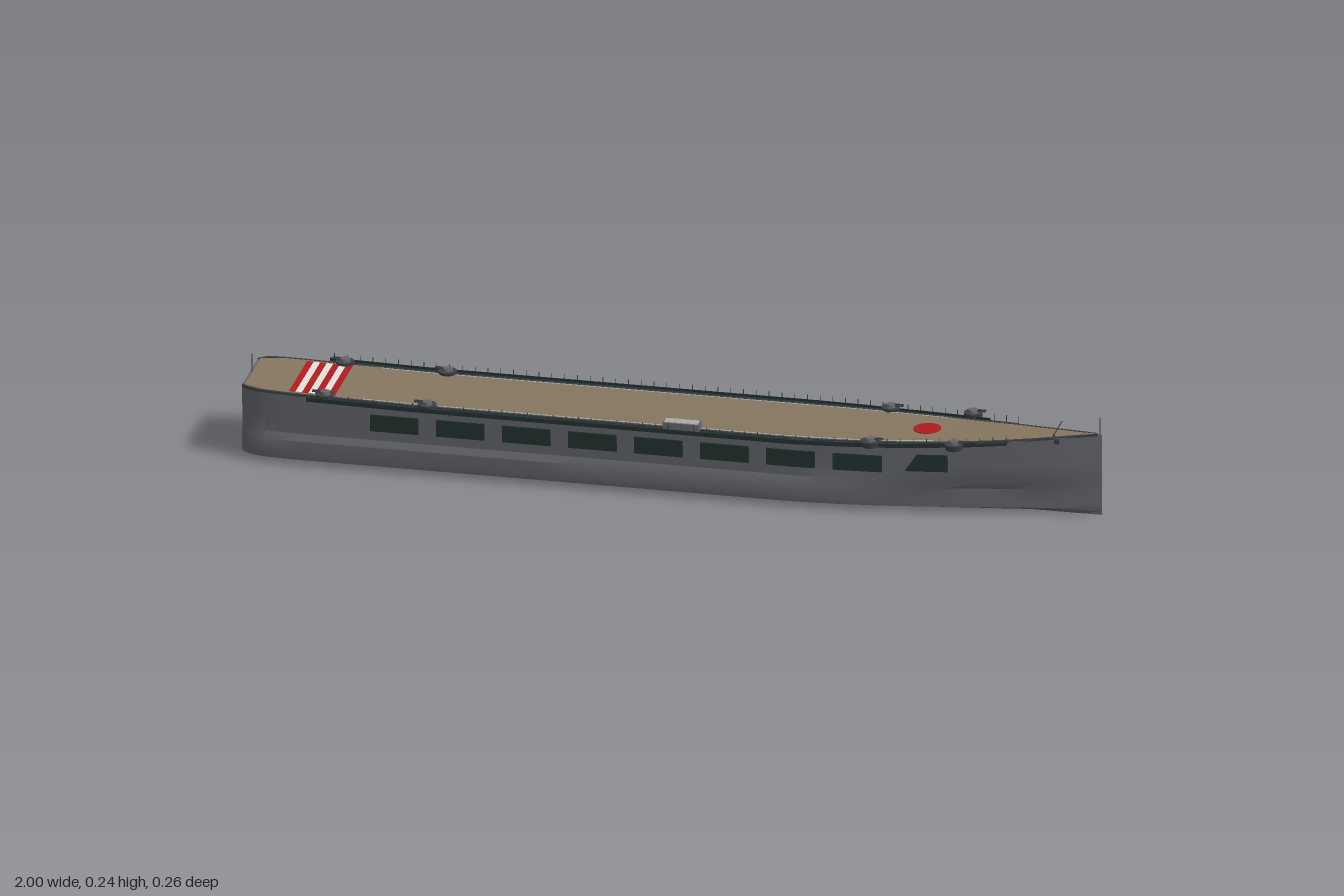
import * as THREE from 'three';
import { toCreasedNormals } from 'three/addons/utils/BufferGeometryUtils.js';

const mat = (name, color) => Object.assign(new THREE.MeshStandardMaterial({ color }), { name });

// Piecewise linear curve through [x, value] pairs
const curve = (pts) => (x) => {
  if (x <= pts[0][0]) return pts[0][1];
  for (let i = 1; i < pts.length; i++) {
    const [x0, v0] = pts[i - 1], [x1, v1] = pts[i];
    if (x <= x1) return v0 + ((v1 - v0) * (x - x0)) / (x1 - x0);
  }
  return pts[pts.length - 1][1];
};

// Hull lines: deck half breadth, bulge half breadth and deck height along x
const deckHalf = curve([[-1, 0.083], [-0.985, 0.096], [-0.965, 0.103], [-0.94, 0.106], [-0.9, 0.108], [0.3, 0.108],
  [0.4, 0.105], [0.5, 0.098], [0.6, 0.086], [0.7, 0.071], [0.8, 0.052], [0.9, 0.028], [1, 0.0008]]);
const bulgeHalf = curve([[-1, 0.08], [-0.985, 0.094], [-0.965, 0.103], [-0.94, 0.108], [-0.88, 0.112], [0.3, 0.111],
  [0.4, 0.104], [0.5, 0.092], [0.6, 0.075], [0.7, 0.055], [0.8, 0.035], [0.9, 0.016], [1, 0.0008]]);
const sheer = curve([[-1, 0.178], [-0.85, 0.174], [-0.6, 0.17], [0.3, 0.17], [0.5, 0.173], [0.7, 0.18], [0.85, 0.189], [1, 0.2]]);
const notchFade = curve([[0.3, 0.006], [0.6, 0]]);
const notchHalf = (x) => (deckHalf(x) + bulgeHalf(x)) / 2 - notchFade(x);
const sideHalf = (x) => (deckHalf(x) + notchHalf(x)) / 2;
const galleryWidth = curve([[0.3, 0.019], [0.5, 0.014], [0.8, 0.011]]);

// Skin closed rings of [z, y] points placed along x, with end caps
function loft(xs, ring) {
  const pos = [], idx = [];
  let n = 0;
  xs.forEach((x) => {
    const r = ring(x);
    n = r.length;
    r.forEach(([z, y]) => pos.push(x, y, z));
  });
  for (let i = 0; i < xs.length - 1; i++)
    for (let j = 0; j < n; j++) {
      const a = i * n + j, b = i * n + ((j + 1) % n);
      idx.push(a, a + n, b + n, a, b + n, b);
    }
  const e = (xs.length - 1) * n;
  for (let k = 1; k < n - 1; k++) idx.push(0, k, k + 1, e, e + k + 1, e + k);
  const g = new THREE.BufferGeometry();
  g.setAttribute('position', new THREE.Float32BufferAttribute(pos, 3));
  g.setIndex(idx);
  return toCreasedNormals(g, 0.45);
}

// Stations from a to b, keeping the tight stern corner well sampled
function stations(a, b, step = 0.05) {
  const n = Math.max(1, Math.round((b - a) / step));
  const xs = Array.from({ length: n + 1 }, (_, i) => a + ((b - a) * i) / n);
  if (a === -1) xs.push(-0.985, -0.965, -0.94);
  return xs.sort((p, q) => p - q);
}

const rect = (z0, z1, y0, y1) => [[z0, y0], [z1, y0], [z1, y1], [z0, y1]];

export function createModel() {
  const model = new THREE.Group();
  model.name = 'aircraftCarrier';
  const hullGrey = mat('hullGrey', 0x63656b);
  const darkGrey = mat('darkGrey', 0x3c4043);
  const darkGreen = mat('darkGreen', 0x22302f);
  const deckTan = mat('deckTan', 0x85765f);
  const paleGrey = mat('paleGrey', 0xa9aaa6);
  const red = mat('red', 0xb01c20);
  const white = mat('white', 0xe4e0da);

  const add = (name, geo, material, x = 0, y = 0, z = 0, parent = model) => {
    const m = new THREE.Mesh(geo, material);
    m.name = name;
    m.position.set(x, y, z);
    parent.add(m);
    return m;
  };
  // Strip along one side, from inner to outer half breadth and y0 to y1
  const strip = (name, s, a, b, inner, outer, y0, y1, material) =>
    add(name, loft(stations(a, b), (x) => {
      const i = inner(x), o = Math.max(outer(x), i + 0.0003);
      return s > 0 ? rect(i, o, y0(x), y1(x)) : rect(-o, -i, y0(x), y1(x));
    }), material);

  // Hull with shallow keel, side bulge and flaring upper works
  add('hull', loft(stations(-1, 1), (x) => {
    const b = bulgeHalf(x), n = notchHalf(x), d = deckHalf(x), t = sheer(x) - 0.002;
    const half = [[b * 0.8, 0.009], [b * 0.98, 0.014], [b, 0.025], [b, 0.06], [n, 0.076], [(n + d) / 2, 0.122], [d, t]];
    return [[0, 0], ...half, ...half.slice().reverse().map(([z, y]) => [-z, y])];
  }), hullGrey);

  // Flight deck
  add('flightDeck', loft(stations(-0.994, 0.99), (x) => {
    const w = Math.max(deckHalf(x) - 0.006, 0.0005);
    return rect(-w, w, sheer(x) - 0.003, sheer(x));
  }), deckTan);

  // Landing stripes near the stern
  for (let i = 0; i < 7; i++) {
    const a = -0.887 + i * 0.0153;
    add('landingStripe', loft([a, a + 0.0153], (x) =>
      rect(-0.094, 0.094, sheer(x) - 0.001, sheer(x) + 0.001)), i % 2 ? white : red);
  }

  // Red deck disc forward
  const disc = add('deckDisc', new THREE.CylinderGeometry(0.032, 0.032, 0.003, 28), red, 0.59, sheer(0.59) + 0.0005, 0);
  disc.rotation.z = Math.atan((sheer(0.62) - sheer(0.56)) / 0.06);

  const postGeo = new THREE.BoxGeometry(0.0014, 0.02, 0.0014);
  const tub = new THREE.CylinderGeometry(0.022, 0.019, 0.014, 16);
  const mount = new THREE.CylinderGeometry(0.011, 0.013, 0.008, 12);
  const barrel = new THREE.CylinderGeometry(0.0018, 0.0018, 0.032, 6).rotateZ(Math.PI / 2);

  for (const s of [1, -1]) {
    const out = (x) => deckHalf(x) + galleryWidth(x);
    // Deck rim and painted edge line
    strip('deckRim', s, -1, 0.99, (x) => Math.max(deckHalf(x) - 0.006, 0.0002), deckHalf,
      (x) => sheer(x) - 0.005, (x) => sheer(x) + 0.0005, darkGrey);
    strip('edgeLine', s, -0.72, 0.62, (x) => deckHalf(x) - 0.012, (x) => deckHalf(x) - 0.008,
      (x) => sheer(x) - 0.001, (x) => sheer(x) + 0.001, paleGrey);

    // Side gallery, its parapet and railing posts
    strip('gallery', s, -0.84, 0.79, (x) => deckHalf(x) - 0.004, out,
      (x) => sheer(x) - 0.008, (x) => sheer(x) - 0.003, darkGreen);
    strip('galleryParapet', s, -0.84, 0.72, (x) => out(x) - 0.002, out,
      (x) => sheer(x) - 0.006, (x) => sheer(x) + 0.002, darkGreen);
    for (let x = -0.83; x < 0.8; x += 0.03)
      add('railPost', postGeo, darkGrey, x, sheer(x) + 0.004, s * (out(x) - 0.001));

    // Hangar openings along the side
    for (let i = 0; i < 8; i++) {
      const a = -0.693 + i * 0.155;
      strip('hangarOpening', s, a, a + 0.113, (x) => sideHalf(x) - 0.003, (x) => sideHalf(x) + 0.005,
        () => 0.1, () => 0.14, darkGreen);
    }
    // Forward opening with a slanted leading edge
    const slant = curve([[0.558, 0.106], [0.585, 0.146]]);
    add('forwardOpening', loft([0.558, 0.585, 0.655], (x) => {
      const w = sideHalf(x);
      return s > 0 ? rect(w - 0.003, w + 0.004, 0.105, slant(x)) : rect(-w - 0.004, -w + 0.003, 0.105, slant(x));
    }), darkGreen);

    // Gun tubs with twin barrels
    for (const [x, z] of [[-0.8, 0.104], [-0.56, 0.106], [0.48, 0.107], [0.675, 0.1]]) {
      const gun = new THREE.Group();
      gun.name = 'gunTub';
      gun.position.set(x, sheer(x), s * z);
      add('tub', tub, darkGrey, 0, 0, 0, gun);
      add('mount', mount, hullGrey, 0, 0.01, 0, gun);
      for (const dz of [-0.004, 0.004])
        add('barrel', barrel, darkGrey, x < 0 ? -0.014 : 0.014, 0.012, dz, gun);
      model.add(gun);
    }

    // Bow anchor and yard post
    add('anchor', new THREE.BoxGeometry(0.012, 0.012, 0.004), darkGrey, 0.9, 0.183, s * 0.028);
    add('yardPost', new THREE.BoxGeometry(0.0015, 0.012, 0.0015), darkGrey, 0.893, 0.193, s * 0.02);
  }

  // Low bridge platform on the left edge
  add('bridge', new THREE.BoxGeometry(0.085, 0.019, 0.03), hullGrey, 0.038, 0.177, 0.107);
  add('bridgeTop', new THREE.BoxGeometry(0.079, 0.002, 0.025), paleGrey, 0.038, 0.187, 0.107);

  // Bow yard and end masts
  add('bowYard', new THREE.BoxGeometry(0.002, 0.002, 0.114), darkGrey, 0.893, 0.199, 0);
  add('bowMast', new THREE.CylinderGeometry(0.0012, 0.0015, 0.04, 6), darkGrey, 0.995, 0.218, 0);
  add('sternMast', new THREE.CylinderGeometry(0.0012, 0.0015, 0.044, 6), darkGrey, -0.995, 0.198, 0);
  return model;
}
